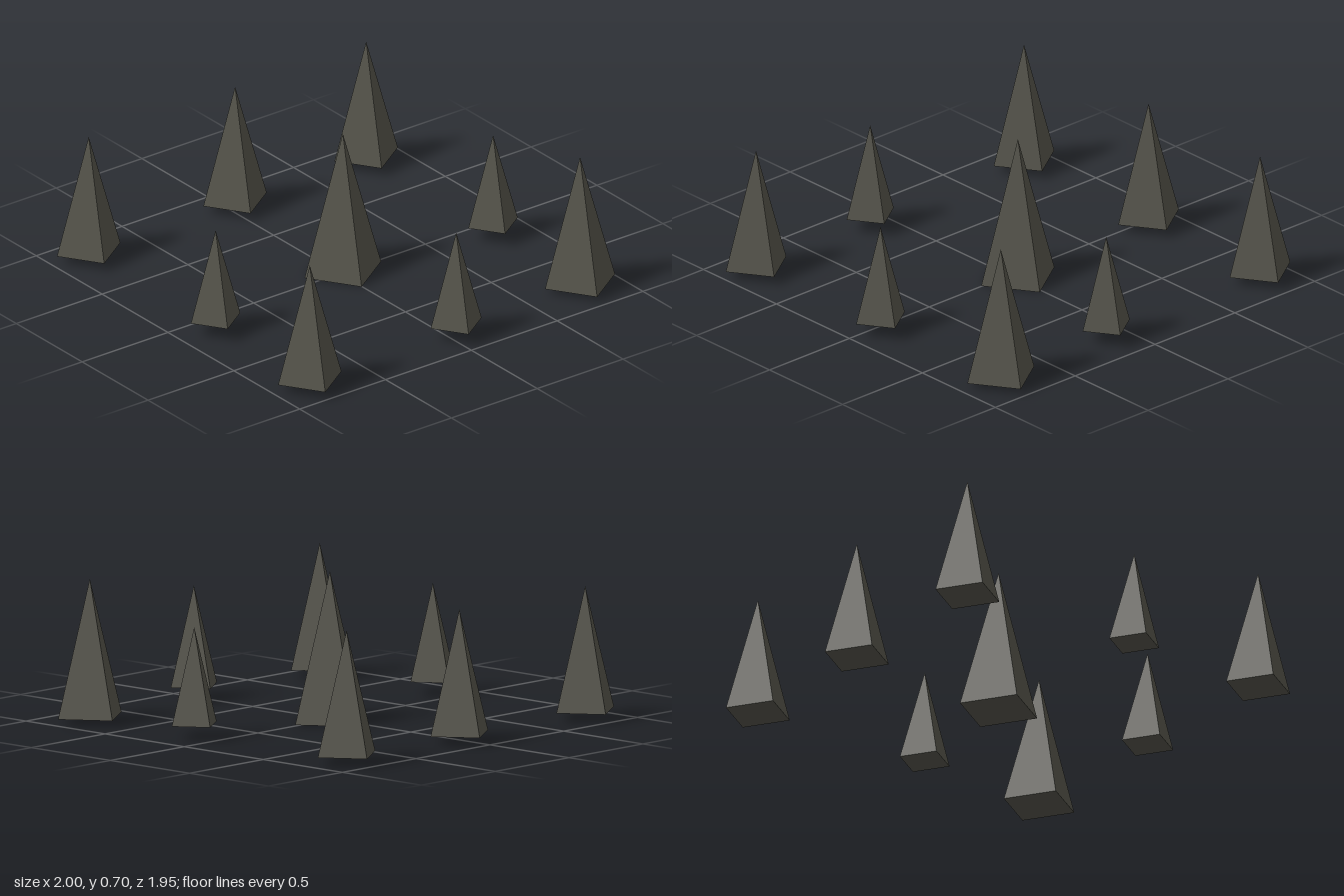
import * as THREE from 'three';

// Each spike: x, z, base height, base radius (height follows from the radius)
const SPIKES = [
  [-0.84, -0.80, 0.04, 0.163],
  [0.123, -0.80, 0.067, 0.127],
  [0.783, -0.80, 0.026, 0.18],
  [-0.84, -0.036, 0.04, 0.163],
  [-0.022, -0.036, 0, 0.197],
  [0.838, -0.036, 0.065, 0.131],
  [-0.84, 0.817, 0.04, 0.163],
  [0.123, 0.817, 0.067, 0.127],
  [0.838, 0.817, 0.04, 0.163],
];
const SLENDERNESS = 3.57;
const TWIST = -0.2;

export function createModel() {
  const model = new THREE.Group();
  model.name = 'spikeField';
  const stone = new THREE.MeshStandardMaterial({ color: 0x55544b, flatShading: true });
  stone.name = 'darkStone';

  // Four-sided pyramid of unit radius, standing on its base
  const pyramid = new THREE.ConeGeometry(1, SLENDERNESS, 4)
    .translate(0, SLENDERNESS / 2, 0)
    .rotateY(TWIST);

  // Three rows of three spikes
  SPIKES.forEach(([x, z, base, radius], i) => {
    const spike = new THREE.Mesh(pyramid, stone);
    spike.name = `spike${i + 1}`;
    spike.position.set(x, base, z);
    spike.scale.setScalar(radius);
    model.add(spike);
  });
  return model;
}
